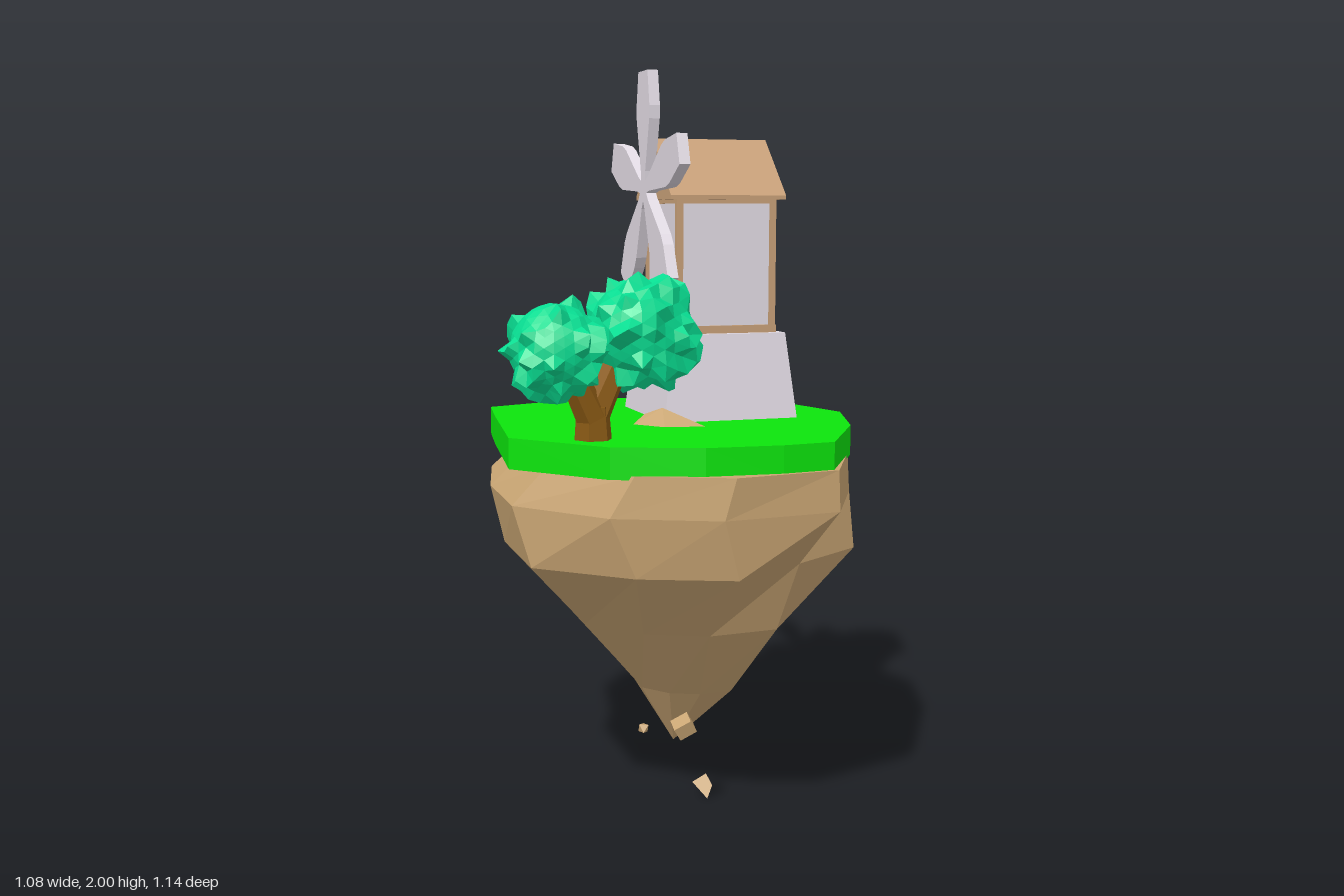
import * as THREE from 'three';
import { ConvexGeometry } from 'three/addons/geometries/ConvexGeometry.js';

const paint = (color) => new THREE.MeshStandardMaterial({ color, flatShading: true });
const ROCK = paint(0xcaa674), GRASS = paint(0x0ce40c), WOOD = paint(0xc8a078);
const STONE = paint(0xe2dbe4), BARK = paint(0x8a5a14), LEAF = paint(0x08de92);

function add(parent, name, geometry, material, x = 0, y = 0, z = 0) {
  const mesh = new THREE.Mesh(geometry, material);
  mesh.name = name;
  mesh.position.set(x, y, z);
  parent.add(mesh);
  return mesh;
}

// Rock body: one outline squeezed into the extents of each ring, closed by a tip
function rockGeometry() {
  const outline = [[0.52, 0], [0.515, 0.3], [0.25, 0.47], [-0.03, 0.49], [-0.31, 0.37], [-0.45, 0.09],
    [-0.54, -0.225], [-0.32, -0.47], [-0.02, -0.575], [0.29, -0.53], [0.485, -0.29]];
  // y, xMin, xMax, zMin, zMax
  const rings = [[0.985, -0.42, 0.515, -0.535, 0.482], [0.88, -0.54, 0.52, -0.575, 0.49],
    [0.725, -0.44, 0.535, -0.545, 0.46], [0.535, -0.3, 0.35, -0.345, 0.28], [0.325, -0.1, 0.215, -0.22, 0.11]];
  // Hollows and bulges of the third ring, per corner
  const bulge = [1, 0.77, 0.98, 1, 1.12, 1.15, 1, 1, 1, 0.94, 0.86];
  const loops = rings.map(([y, x0, x1, z0, z1], i) => outline.map(([x, z], j) => {
    const s = i === 2 ? bulge[j] : 1;
    return [s * (x0 + (x + 0.54) / 1.06 * (x1 - x0)), y, s * (z0 + (z + 0.575) / 1.065 * (z1 - z0))];
  }));
  const tip = [0.04, 0.148, -0.02], cap = [0, 0.985, 0], n = outline.length, v = [];
  for (let j = 0; j < n; j++) {
    const k = (j + 1) % n;
    for (let i = 0; i < loops.length - 1; i++) {
      const a = loops[i], b = loops[i + 1];
      v.push(...a[j], ...a[k], ...b[k], ...a[j], ...b[k], ...b[j]);
    }
    const last = loops[loops.length - 1];
    v.push(...last[j], ...last[k], ...tip, ...loops[0][k], ...loops[0][j], ...cap);
  }
  const g = new THREE.BufferGeometry();
  g.setAttribute('position', new THREE.Float32BufferAttribute(v, 3));
  g.computeVertexNormals();
  return g;
}

// Flat plate following the island edge
function grassGeometry() {
  const edge = [[-0.54, -0.225], [-0.32, -0.47], [-0.02, -0.575], [0.25, -0.535], [0.475, -0.295], [0.52, -0.02],
    [0.498, 0.295], [0.38, 0.375], [0.2, 0.455], [-0.03, 0.485], [-0.315, 0.375], [-0.47, -0.03]];
  const shape = new THREE.Shape(edge.map(([x, z]) => new THREE.Vector2(x, -z)));
  return new THREE.ExtrudeGeometry(shape, { depth: 0.08, bevelEnabled: false }).rotateX(-Math.PI / 2);
}

// Leaf ball with sharp spikes chosen by a repeatable hash
function leafGeometry(radius, seed) {
  const g = new THREE.IcosahedronGeometry(1, 4), p = g.attributes.position, v = new THREE.Vector3();
  for (let i = 0; i < p.count; i++) {
    v.fromBufferAttribute(p, i);
    const key = Math.round(v.x * 500) * 12.9898 + Math.round(v.y * 500) * 78.233 + Math.round(v.z * 500) * 37.719;
    const s = Math.sin(key + seed) * 43758.5453;
    const r = s - Math.floor(s);
    v.multiplyScalar(radius * (r > 0.7 ? 1.08 + (r - 0.7) * 0.4 : 0.93 + r * 0.06));
    p.setXYZ(i, v.x, v.y, v.z);
  }
  g.computeVertexNormals();
  return g;
}

// Tapered limb between two points
function limb(parent, name, from, to, r0, r1) {
  const a = new THREE.Vector3(...from), b = new THREE.Vector3(...to), d = b.clone().sub(a);
  const mesh = add(parent, name, new THREE.CylinderGeometry(r1, r0, d.length(), 6), BARK);
  mesh.position.copy(a).add(b).multiplyScalar(0.5);
  mesh.quaternion.setFromUnitVectors(new THREE.Vector3(0, 1, 0), d.normalize());
}

function windmill() {
  const mill = new THREE.Group();
  mill.name = 'windmill';
  mill.position.set(0.105, 0, -0.228);
  mill.rotation.y = -1.083;

  const base = new THREE.CylinderGeometry(0.33 * Math.SQRT1_2, 0.385 * Math.SQRT1_2, 0.24, 4).rotateY(Math.PI / 4);
  add(mill, 'base', base, STONE, 0, 1.17, 0);
  add(mill, 'walls', new THREE.BoxGeometry(0.274, 0.37, 0.274), STONE, 0, 1.475, 0);

  // Timber frame around the wall panels
  add(mill, 'sill', new THREE.BoxGeometry(0.292, 0.022, 0.292), WOOD, 0, 1.3, 0);
  add(mill, 'topPlate', new THREE.BoxGeometry(0.287, 0.018, 0.287), WOOD, 0, 1.651, 0);
  for (const x of [-1, 1]) for (const z of [-1, 1])
    add(mill, 'cornerPost', new THREE.BoxGeometry(0.018, 0.35, 0.018), WOOD, x * 0.1345, 1.475, z * 0.1345);

  // Gabled roof
  const gable = new THREE.Shape([[-0.158, 1.653], [0.158, 1.653], [0.158, 1.664], [0, 1.82], [-0.158, 1.664]]
    .map(([x, y]) => new THREE.Vector2(x, y)));
  add(mill, 'roof', new THREE.ExtrudeGeometry(gable, { depth: 0.332, bevelEnabled: false }), WOOD, 0, 0, -0.166);

  // Five sails around a hub
  const rotor = new THREE.Group();
  rotor.name = 'rotor';
  rotor.position.set(0, 1.68, 0.165);
  mill.add(rotor);
  const half = [[0.016, 0], [0.02, 0.05], [0.058, 0.19], [0.06, 0.225], [0.042, 0.32]];
  const sail = new THREE.Shape([...half, ...half.map(([x, y]) => [-x, y]).reverse()]
    .map(([x, y]) => new THREE.Vector2(x, y)));
  const sailGeometry = new THREE.ExtrudeGeometry(sail, { depth: 0.03, bevelEnabled: false });
  for (let i = 0; i < 5; i++) add(rotor, 'sail', sailGeometry, STONE).rotation.z = i * Math.PI * 2 / 5;
  add(rotor, 'hub', new THREE.CylinderGeometry(0.026, 0.026, 0.05, 5).rotateX(Math.PI / 2), STONE, 0, 0, 0.004);
  return mill;
}

function tree() {
  const g = new THREE.Group();
  g.name = 'tree';
  limb(g, 'trunk', [-0.1, 1.04, 0.358], [-0.1, 1.14, 0.362], 0.05, 0.042);
  limb(g, 'branch', [-0.1, 1.11, 0.36], [-0.05, 1.24, 0.31], 0.042, 0.034);
  limb(g, 'branch', [-0.1, 1.11, 0.365], [-0.145, 1.23, 0.405], 0.042, 0.034);
  add(g, 'largeCrown', leafGeometry(0.14, 1.3), LEAF, 0.003, 1.315, 0.257);
  add(g, 'smallCrown', leafGeometry(0.12, 4.1), LEAF, -0.174, 1.283, 0.437);
  return g;
}

export function createModel() {
  const model = new THREE.Group();
  model.name = 'floatingIsland';
  add(model, 'rock', rockGeometry(), ROCK);
  add(model, 'grass', grassGeometry(), GRASS, 0, 0.975, 0);
  model.add(windmill(), tree());

  // Boulder lying in the grass
  const boulder = [[-0.06, 1.05, 0.075], [-0.03, 1.08, 0.04], [0.02, 1.098, 0.045], [0.06, 1.08, 0.05],
    [0.15, 1.052, 0.08], [0.04, 1.05, 0.12], [0, 1.05, 0.02]];
  add(model, 'boulder', new ConvexGeometry(boulder.map((p) => new THREE.Vector3(...p))), ROCK);

  // Loose chips drifting below the tip
  add(model, 'looseChip', new THREE.BoxGeometry(0.05, 0.04, 0.045), ROCK, 0.098, 0.25, 0.155).rotation.set(0.3, 0.4, 0.4);
  add(model, 'looseChip', new THREE.OctahedronGeometry(0.019), ROCK, -0.065, 0.14, -0.12).rotation.set(0.5, 0.2, 0.6);
  const shard = [[0.1, 0.04, 0.015], [0.135, 0.058, -0.01], [0.155, 0.03, 0.005], [0.145, 0, 0.03], [0.12, 0.02, -0.012]];
  add(model, 'looseShard', new ConvexGeometry(shard.map((p) => new THREE.Vector3(...p))), ROCK);
  return model;
}
